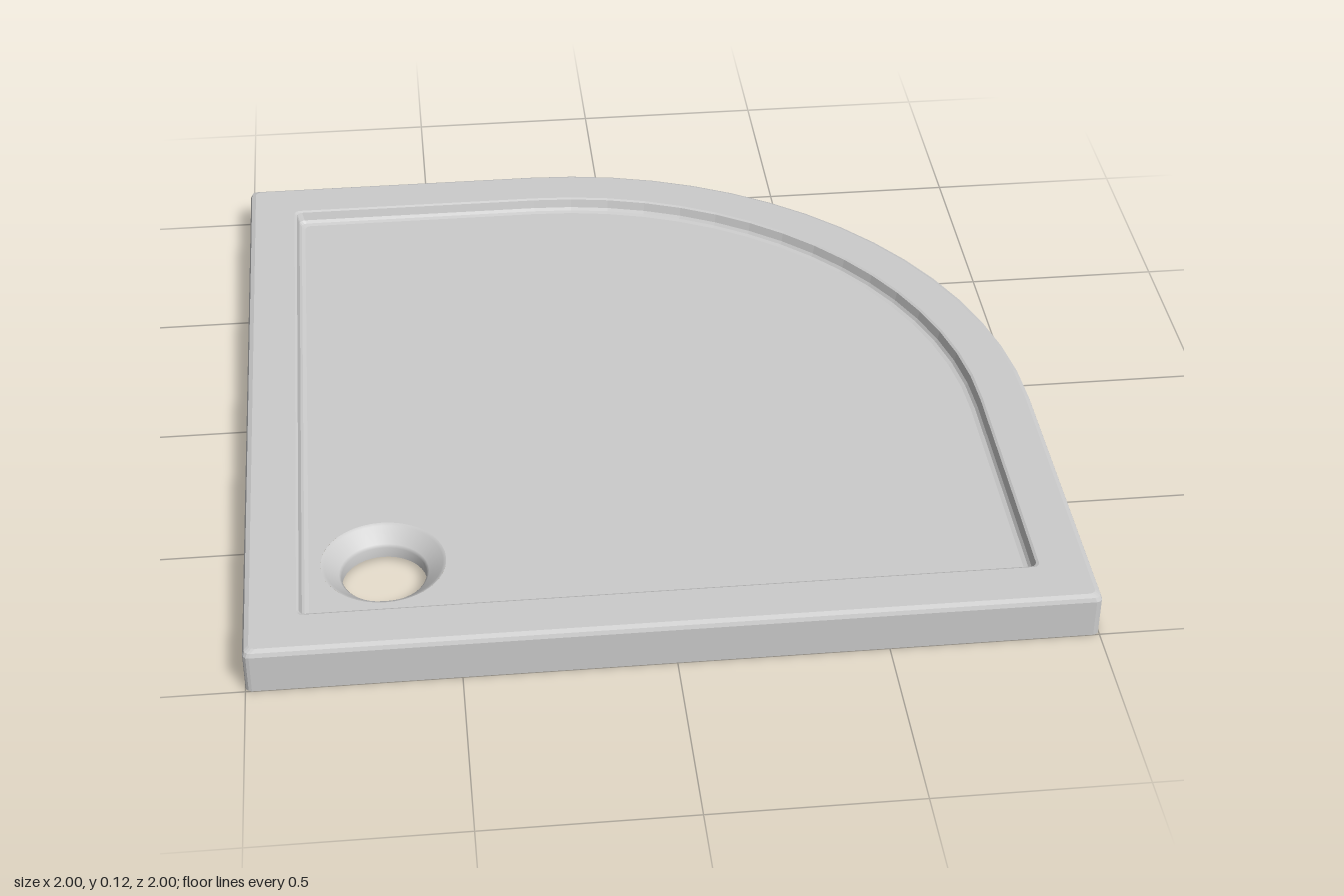
import * as THREE from 'three';

const DRAIN = { x: -0.67, z: 0.66, r: 0.15 };

// Quadrant plan outline at a given inset, counterclockwise, as (x, -z)
function outline(inset, corner = 0.015) {
  const w = 1 - inset, pts = [];
  const round = (sx, sy, start) => {
    for (let i = 0; i <= 3; i++) {
      const a = start + (i / 3) * Math.PI / 2;
      pts.push(new THREE.Vector2(
        sx * (w - corner) + corner * Math.cos(a),
        sy * (w - corner) + corner * Math.sin(a)));
    }
  };
  round(-1, -1, Math.PI);
  round(1, -1, Math.PI * 1.5);
  for (let i = 0; i <= 16; i++) {
    const a = (i / 16) * Math.PI / 2, r = 1.2 - inset;
    pts.push(new THREE.Vector2(-0.2 + r * Math.cos(a), -0.2 + r * Math.sin(a)));
  }
  round(-1, 1, Math.PI / 2);
  return pts;
}

// Sweep an (inset, height) profile around the outline
function sweep(profile) {
  const rings = profile.map(([d, y]) => outline(d).map(p => new THREE.Vector3(p.x, y, -p.y)));
  const pos = [];
  for (let k = 0; k < rings.length - 1; k++) {
    const lo = rings[k], up = rings[k + 1], n = lo.length;
    for (let i = 0; i < n; i++) {
      const j = (i + 1) % n;
      for (const v of [lo[i], lo[j], up[j], lo[i], up[j], up[i]]) pos.push(v.x, v.y, v.z);
    }
  }
  const g = new THREE.BufferGeometry();
  g.setAttribute('position', new THREE.Float32BufferAttribute(pos, 3));
  g.computeVertexNormals();
  return g;
}

// Flat panel with the drain opening, facing up
function panel(inset) {
  const s = new THREE.Shape(outline(inset));
  const hole = new THREE.Path();
  hole.absarc(DRAIN.x, -DRAIN.z, DRAIN.r, 0, Math.PI * 2, true);
  s.holes.push(hole);
  return new THREE.ShapeGeometry(s, 24).rotateX(-Math.PI / 2);
}

export function createModel() {
  const group = new THREE.Group();
  const grey = new THREE.MeshStandardMaterial({ color: 0xcccccc });
  grey.name = 'light grey';
  const add = (name, geo, y = 0) => {
    const m = new THREE.Mesh(geo, grey);
    m.name = name;
    m.position.y = y;
    group.add(m);
    return m;
  };

  // Rim: hollow underside, thin skirt, rounded top edge, slope into the basin
  add('rim', sweep([
    [0.11, 0.07], [0.11, 0.095], [0.012, 0.095], [0.012, 0], [0, 0],
    [0, 0.1], [0.004, 0.11], [0.015, 0.115],
    [0.124, 0.115], [0.13, 0.112], [0.136, 0.09], [0.142, 0.083], [0.152, 0.08],
  ]));

  // Basin floor, top and underside
  add('floor', panel(0.152), 0.08);
  const under = panel(0.11);
  const idx = under.index.array;
  for (let i = 0; i < idx.length; i += 3) [idx[i], idx[i + 1]] = [idx[i + 1], idx[i]];
  under.computeVertexNormals();
  add('floorUnderside', under, 0.07);

  // Raised pad below the floor, notched around the drain
  const edge = 0.76;
  const dx = Math.sqrt(DRAIN.r ** 2 - (edge - DRAIN.z) ** 2);
  const dz = Math.sqrt(DRAIN.r ** 2 - (edge + DRAIN.x) ** 2);
  const a0 = Math.atan2(dz, -(edge + DRAIN.x));
  const a1 = Math.atan2(-(edge - DRAIN.z), dx);
  const pad = [];
  for (let i = 0; i <= 16; i++) {
    const a = a0 + (a1 - a0) * i / 16;
    pad.push(new THREE.Vector2(DRAIN.x + DRAIN.r * Math.cos(a), -DRAIN.z + DRAIN.r * Math.sin(a)));
  }
  pad.push(...outline(1 - edge).slice(4));
  add('basePad', new THREE.ExtrudeGeometry(new THREE.Shape(pad), { depth: 0.04, bevelEnabled: false })
    .rotateX(-Math.PI / 2), 0.032);

  // Drain funnel: outer collar, lower lip, sloping inner throat
  const lathe = pts => new THREE.LatheGeometry(pts.map(p => new THREE.Vector2(...p)), 40);
  const drain = [
    ['drainCollar', [[0.108, 0.012], [0.125, 0.018], [0.15, 0.034], [0.15, 0.07]]],
    ['drainLip', [[0.102, 0.012], [0.108, 0.012]]],
    ['drainThroat', [[0.15, 0.08], [0.142, 0.077], [0.108, 0.047], [0.102, 0.04], [0.102, 0.012]]],
  ];
  for (const [name, pts] of drain) add(name, lathe(pts)).position.set(DRAIN.x, 0, DRAIN.z);

  return group;
}
